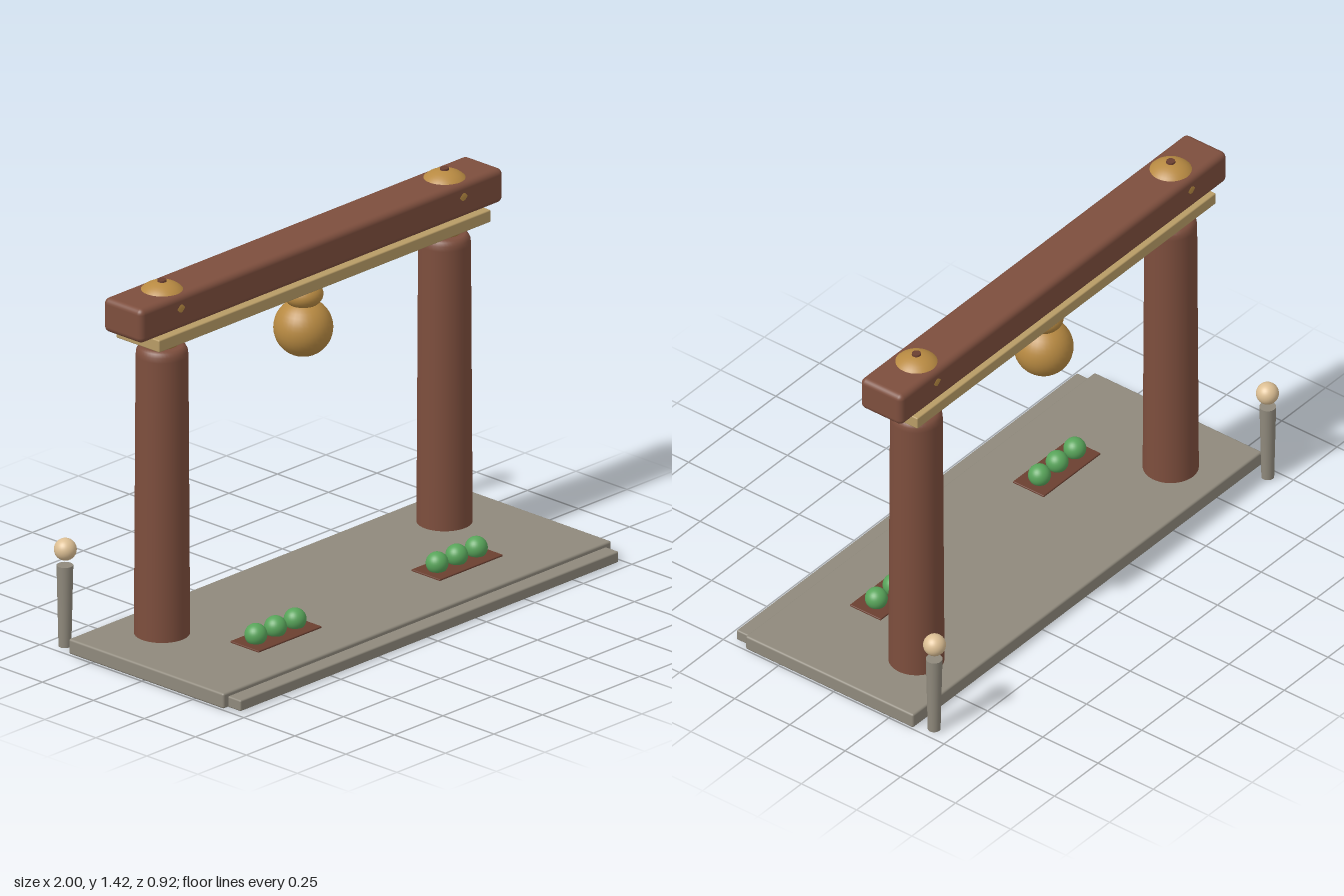
import * as THREE from 'three';
import { RoundedBoxGeometry } from 'three/addons/geometries/RoundedBoxGeometry.js';

const material = (color) => new THREE.MeshStandardMaterial({ color });

export function createModel() {
  const group = new THREE.Group();
  const stone = material(0x8f897c);
  const wood = material(0x7d4e3d);
  const gold = material(0xb88a42);
  const tan = material(0xb89c66);
  const cream = material(0xdcbf94);
  const green = material(0x58a45a);
  const dark = material(0x6b3f30);

  const add = (name, geometry, mat, x, y, z) => {
    const mesh = new THREE.Mesh(geometry, mat);
    mesh.name = name;
    mesh.position.set(x, y, z);
    group.add(mesh);
    return mesh;
  };
  // Box given by its extents along each axis
  const box = (name, mat, [x0, x1], [y0, y1], [z0, z1], r) =>
    add(name, new RoundedBoxGeometry(x1 - x0, y1 - y0, z1 - z0, 3, r), mat,
      (x0 + x1) / 2, (y0 + y1) / 2, (z0 + z1) / 2);
  // Ellipsoid that is round in plan
  const ball = (name, mat, x, y, z, r, ry = r) =>
    add(name, new THREE.SphereGeometry(r, 32, 20), mat, x, y, z).scale.set(1, ry / r, 1);

  const gateZ = -0.16;

  // Platform and front step
  box('platform', stone, [-1, 1], [0.004, 0.062], [-0.36, 0.4], 0.008);
  box('frontStep', stone, [-0.975, 0.975], [0.004, 0.046], [0.34, 0.46], 0.006);

  // Crossbeam with the plank beneath it
  box('crossbeam', wood, [-0.935, 0.935], [1.25, 1.38], [-0.255, -0.065], 0.022);
  box('underPlank', tan, [-0.855, 0.855], [1.2, 1.247], [-0.265, -0.053], 0.005);

  // Hanging bell
  ball('bell', gold, 0, 1.02, gateZ, 0.107);
  ball('bellCap', gold, 0, 1.148, gateZ, 0.072, 0.052);

  // Tapered pillar profile with a rounded top edge
  const pillarProfile = [
    [0, 0], [0.1, 0], [0.1, 0.06], [0.094, 1.13], [0.092, 1.148],
    [0.085, 1.161], [0.074, 1.168], [0, 1.17],
  ].map(([x, y]) => new THREE.Vector2(x, y));

  for (const side of [-1, 1]) {
    const x = side * 0.728;
    add('pillar', new THREE.LatheGeometry(pillarProfile, 40), wood, x, 0, gateZ);
    // Gilded joint, dome and finial
    ball('pillarJoint', gold, x, 1.205, gateZ, 0.075, 0.055);
    ball('beamDome', gold, x, 1.33, gateZ, 0.097, 0.08);
    add('finial', new THREE.CylinderGeometry(0.016, 0.018, 0.02, 16), dark, x, 1.406, gateZ);

    // Lantern posts behind the platform
    add('lanternPost', new THREE.CylinderGeometry(0.03, 0.023, 0.31, 24), stone,
      side * 0.955, 0.16, -0.42);
    ball('lantern', cream, side * 0.953, 0.375, -0.42, 0.041);

    // Tray with a row of three shrubs
    const trayX = side * 0.467;
    box('tray', dark, [trayX - 0.163, trayX + 0.163], [0.05, 0.068], [0.08, 0.22], 0.003);
    for (const i of [-1, 0, 1]) ball('shrub', green, trayX + i * 0.101, 0.094, 0.148, 0.041);
  }

  return group;
}
